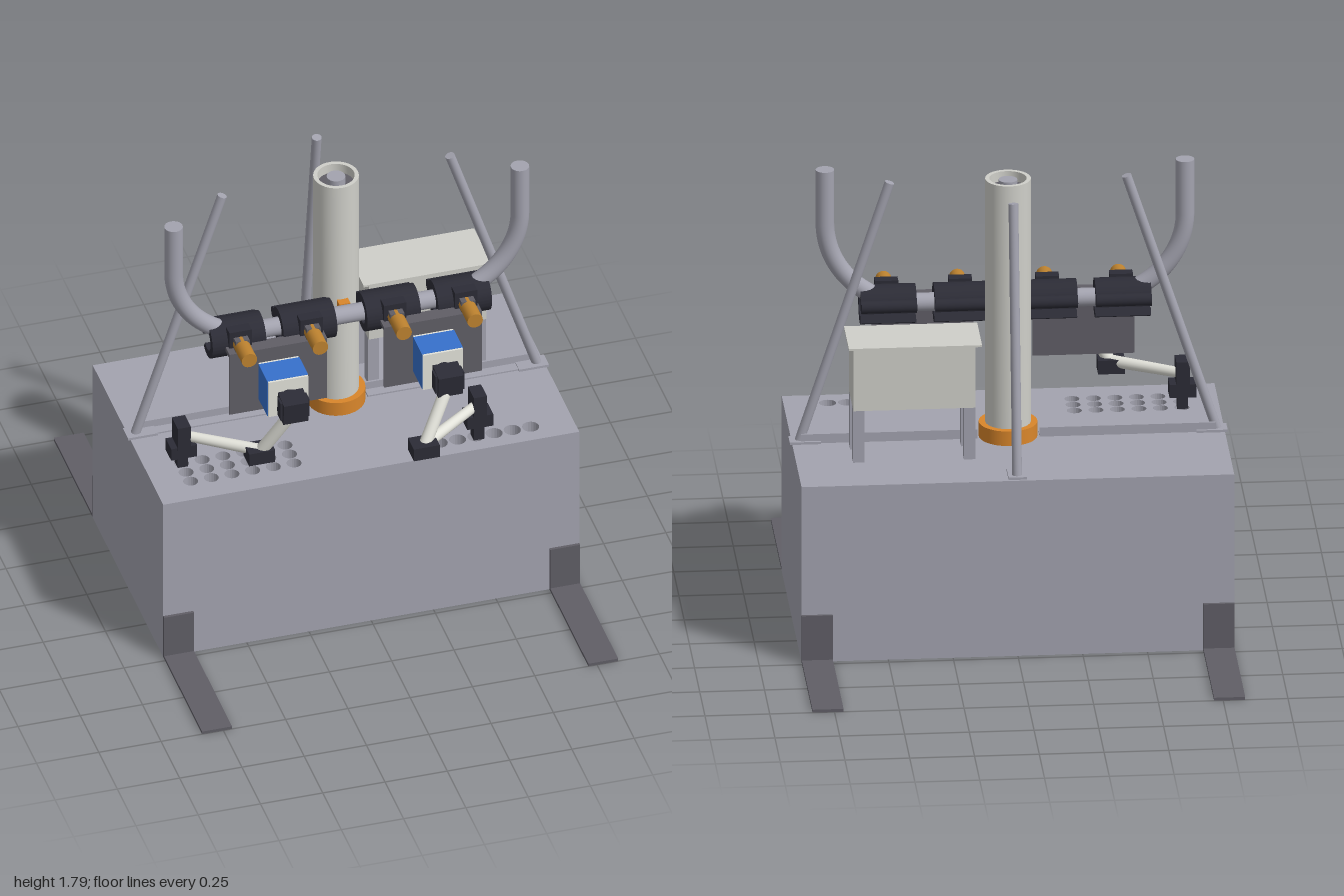
import * as THREE from 'three';
import { toCreasedNormals } from 'three/addons/utils/BufferGeometryUtils.js';

export function createModel() {
  const model = new THREE.Group();
  model.name = 'workstation';
  const mat = (name, color) => {
    const m = new THREE.MeshStandardMaterial({ color });
    m.name = name;
    return m;
  };
  const steel = mat('steel grey', 0xa3a3af);
  const dark = mat('dark grey', 0x605e66);
  const black = mat('black', 0x2c2c36);
  const orange = mat('orange', 0xd9862b);
  const brass = mat('brass', 0xbd822f);
  const blue = mat('blue', 0x3670cc);
  const green = mat('green', 0x3aa648);
  const white = mat('off white', 0xe2e2da);
  const pale = mat('pale grey', 0xcfcfc9);

  const add = (name, geo, m, x = 0, y = 0, z = 0) => {
    const mesh = new THREE.Mesh(geo, m);
    mesh.name = name;
    mesh.position.set(x, y, z);
    model.add(mesh);
    return mesh;
  };
  // Box given by its minimum and maximum on each axis
  const box = (name, m, x0, x1, y0, y1, z0, z1) =>
    add(name, new THREE.BoxGeometry(x1 - x0, y1 - y0, z1 - z0), m,
      (x0 + x1) / 2, (y0 + y1) / 2, (z0 + z1) / 2);
  // Round rod between two points
  const rod = (name, m, a, b, r, r2 = r) => {
    const p = new THREE.Vector3(...a), q = new THREE.Vector3(...b);
    const mesh = add(name, new THREE.CylinderGeometry(r2, r, p.distanceTo(q), 20), m);
    mesh.position.copy(p).add(q).multiplyScalar(0.5);
    mesh.quaternion.setFromUnitVectors(new THREE.Vector3(0, 1, 0), q.sub(p).normalize());
    return mesh;
  };

  // Base cabinet, with wells sunk into its top
  const top = 0.725, wellFloor = 0.6;
  const wells = [];
  for (let c = 0; c < 6; c++)
    for (let r = 0; r < 3; r++)
      wells.push([-0.69 + c * 0.083, 0.235 + r * 0.061, c === 4 ? orange : green, 0.029]);
  for (let c = 0; c < 7; c++) wells.push([0.225 + c * 0.0733, 0.39, orange, 0.033]);
  box('baseCabinet', steel, -0.835, 0.835, 0, wellFloor, -0.475, 0.475);
  const deck = new THREE.Shape([[-0.835, -0.475], [0.835, -0.475], [0.835, 0.475], [-0.835, 0.475]]
    .map(([x, y]) => new THREE.Vector2(x, y)));
  for (const [x, z, m, r] of wells) {
    const hole = new THREE.Path();
    hole.absarc(x, -z, r, 0, Math.PI * 2, true);
    deck.holes.push(hole);
    add('wellBottom', new THREE.CylinderGeometry(r - 0.001, r - 0.001, 0.008, 20), m, x, wellFloor + 0.004, z);
  }
  add('deck', new THREE.ExtrudeGeometry(deck, { depth: top - wellFloor, bevelEnabled: false, curveSegments: 10 }),
    steel, 0, wellFloor, 0).rotation.x = -Math.PI / 2;

  // Angle feet at the four corners
  for (const sx of [-1, 1])
    for (const sz of [-1, 1]) {
      add('footFloorPlate', new THREE.BoxGeometry(0.12, 0.012, 0.525), dark, sx * 0.775, 0.006, sz * 0.7375);
      add('footWallPlate', new THREE.BoxGeometry(0.12, 0.195, 0.012), dark, sx * 0.775, 0.0975, sz * 0.481);
    }

  // Central column with collar and inner shaft
  const column = [[0.088, top], [0.088, 1.79], [0.072, 1.79], [0.072, 1.73]]
    .map(([r, y]) => new THREE.Vector2(r, y));
  add('column', toCreasedNormals(new THREE.LatheGeometry(column, 40), 0.6), pale);
  add('columnSeal', new THREE.CylinderGeometry(0.074, 0.074, 0.01, 32), dark, 0, 1.745, 0);
  add('columnShaft', new THREE.CylinderGeometry(0.036, 0.036, 0.06, 24), steel, 0, 1.755, 0);
  add('collar', new THREE.CylinderGeometry(0.113, 0.113, 0.06, 40), orange, 0, top + 0.03, 0);
  box('columnSaddle', orange, -0.022, 0.022, 1.2, 1.26, 0.08, 0.12);

  // Deck rails, stay rods and their base plates
  for (const s of [-1, 1]) {
    add('railFlange', new THREE.BoxGeometry(0.68, 0.006, 0.05), steel, s * 0.46, top + 0.003, 0);
    add('railWeb', new THREE.BoxGeometry(0.68, 0.038, 0.008), steel, s * 0.46, top + 0.019, -0.021);
    add('stayPlate', new THREE.BoxGeometry(0.12, 0.01, 0.07), steel, s * 0.785, top + 0.005, 0);
    rod('sideStay', steel, [s * 0.805, 0.73, 0], [s * 0.457, 1.787, 0], 0.019);
  }
  box('backStayPlate', steel, -0.035, 0.035, top, top + 0.01, -0.465, -0.37);
  rod('backStay', steel, [0, 0.73, -0.435], [0, 1.787, -0.26], 0.019);

  // Bent crossbar
  const barY = 1.23, barZ = 0.145, bend = 0.34, k = bend * 0.5523, barX = 0.695;
  const v = (x, y) => new THREE.Vector3(x, y, barZ);
  const bar = new THREE.CurvePath();
  bar.add(new THREE.LineCurve3(v(-barX, 1.79), v(-barX, barY + bend)));
  bar.add(new THREE.CubicBezierCurve3(v(-barX, barY + bend), v(-barX, barY + bend - k),
    v(-barX + bend - k, barY), v(-barX + bend, barY)));
  bar.add(new THREE.LineCurve3(v(-barX + bend, barY), v(barX - bend, barY)));
  bar.add(new THREE.CubicBezierCurve3(v(barX - bend, barY), v(barX - bend + k, barY),
    v(barX, barY + bend - k), v(barX, barY + bend)));
  bar.add(new THREE.LineCurve3(v(barX, barY + bend), v(barX, 1.79)));
  add('crossbar', new THREE.TubeGeometry(bar, 120, 0.036, 20), steel);
  for (const s of [-1, 1])
    add('crossbarEnd', new THREE.CircleGeometry(0.036, 20), steel, s * barX, 1.79, barZ).rotation.x = -Math.PI / 2;

  // Split clamps with hinge and clamping knob
  const ring = new THREE.Shape();
  ring.absarc(0, 0, 0.077, -2.2, 3.3, false);
  ring.absarc(0, 0, 0.046, 3.3, -2.2, true);
  const shell = toCreasedNormals(new THREE.ExtrudeGeometry(ring,
    { depth: 0.215, bevelEnabled: false, curveSegments: 28 }), 0.6);
  for (const x of [-0.453, -0.168, 0.168, 0.453]) {
    // Extruded along x, ring opening to the lower back
    const clamp = add('clamp', shell, black, x + 0.1075, barY - 0.003, barZ);
    clamp.rotation.y = -Math.PI / 2;
    rod('clampHinge', black, [x - 0.107, 1.243, 0.073], [x + 0.107, 1.243, 0.073], 0.025);
    box('clampLug', black, x - 0.045, x + 0.045, 1.2, 1.303, 0.19, 0.235);
    box('knobBracket', dark, x - 0.028, x + 0.028, 1.2, 1.278, 0.225, 0.265);
    rod('clampKnob', brass, [x, 1.248, 0.225], [x, 1.248, 0.355], 0.031);
  }

  // Two manipulators hanging from the crossbar
  const arms = [
    { x: -0.313, elbow: [-0.43, 0.845, 0.41], tool: [-0.692, 0.24], lift: 0 },
    { x: 0.308, elbow: [0.183, 0.853, 0.57], tool: [0.451, 0.393], lift: 0.015 },
  ];
  for (const { x, elbow, tool: [tx, tz], lift } of arms) {
    box('hangingPanel', dark, x - 0.196, x + 0.196, 0.945, 1.225, 0.265, 0.274);
    box('panelBracket', dark, x - 0.196, x + 0.196, 1.212, 1.23, 0.215, 0.274);
    box('motorBackPlate', white, x - 0.08, x + 0.08, 1.003, 1.168, 0.274, 0.282);
    box('motorBox', blue, x - 0.082, x + 0.082, 1.003, 1.168, 0.282, 0.4);
    box('motorFacePlate', white, x - 0.08, x + 0.08, 1.004, 1.167, 0.4, 0.409);
    // Shoulder head
    const head = box('shoulderHead', black, x - 0.05, x + 0.05, 1.035, 1.13, 0.43, 0.515);
    head.rotation.x = 0.12;
    box('shoulderBand', black, x - 0.058, x + 0.058, 1.045, 1.125, 0.455, 0.5);
    rod('shoulderMount', black, [x, 1.085, 0.4], [x, 1.085, 0.45], 0.035);
    // Links and elbow
    const [ex, ey, ez] = elbow;
    rod('upperLink', white, [x, 1.06, 0.475], elbow, 0.025);
    box('elbow', black, ex - 0.052, ex + 0.052, ey - 0.028, ey + 0.028, ez - 0.04, ez + 0.04);
    rod('foreLink', white, [ex, ey + 0.012, ez], [tx, 0.865 + lift, tz], 0.024, 0.02);
    // Tool with gripper stem
    box('toolHead', black, tx - 0.026, tx + 0.026, 0.82 + lift, 0.925 + lift, tz - 0.04, tz + 0.04);
    box('toolBody', black, tx - 0.052, tx + 0.052, 0.778 + lift, 0.832 + lift, tz - 0.038, tz + 0.038);
    box('toolStem', black, tx - 0.021, tx + 0.021, top, 0.79 + lift, tz - 0.021, tz + 0.021);
  }

  // Supply cabinet on legs at the back
  box('supplyCabinet', pale, 0.145, 0.617, 0.945, 1.204, -0.255, -0.043);
  box('supplyLid', pale, 0.122, 0.636, 1.203, 1.211, -0.275, -0.036);
  for (const x of [0.145, 0.573])
    for (const z of [-0.238, -0.1])
      box('supplyLeg', steel, x, x + 0.044, top, 0.946, z, z + 0.047);

  return model;
}
